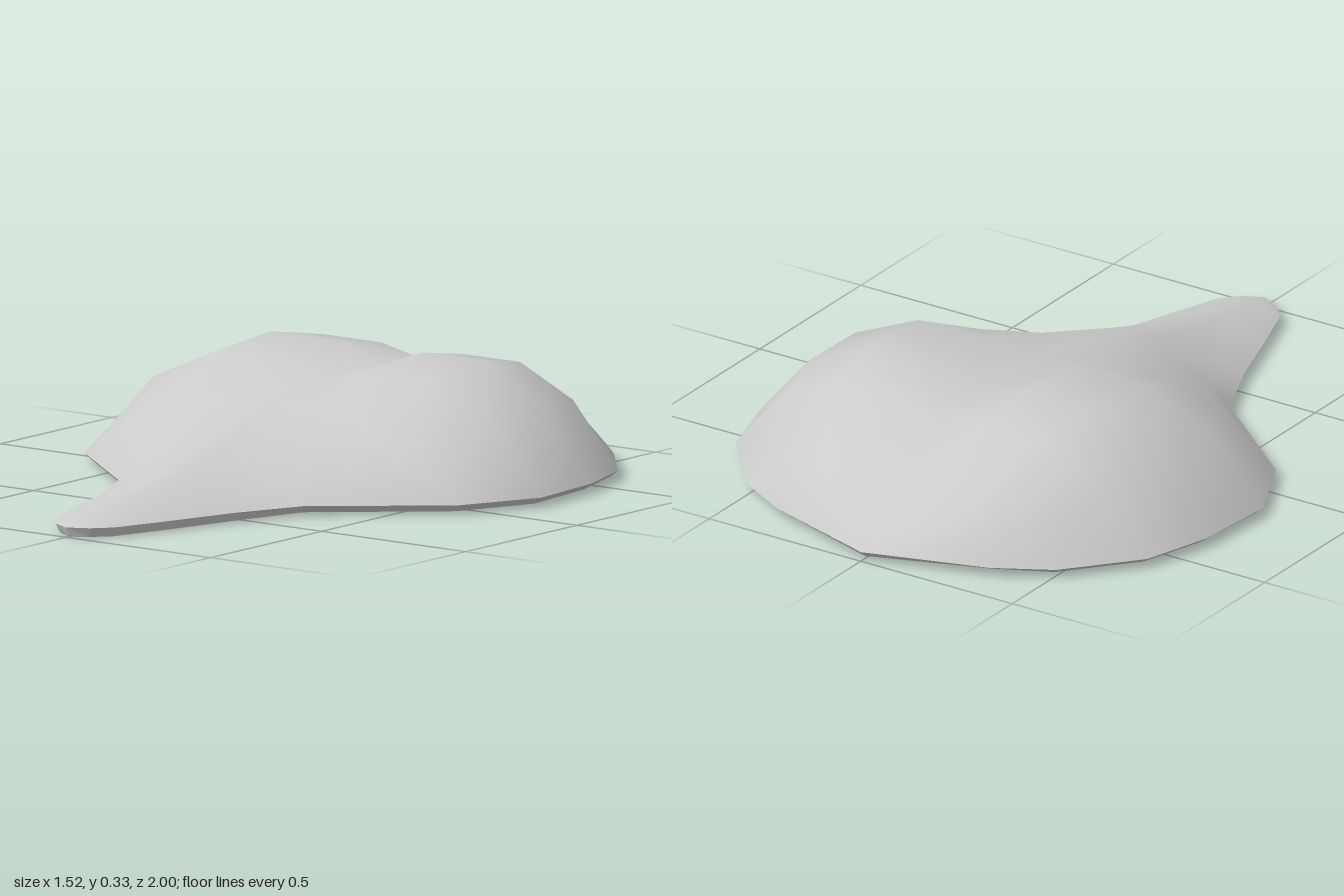
import * as THREE from 'three';

const RIM = 0.035;        // height of the upper rim edge
const THICKNESS = 0.03;

// Cross-sections from back to front: z, half width, centre rise, side rise, lobe blend
const ROWS = [
  [-1.0, 0, 0, 0, 1],
  [-0.89, 0.35, 0.075, 0.075, 1],
  [-0.8, 0.51, 0.14, 0.145, 1],
  [-0.6, 0.68, 0.235, 0.265, 1],
  [-0.4, 0.74, 0.25, 0.3, 1],
  [-0.15, 0.76, 0.245, 0.285, 0.95],
  [0.08, 0.65, 0.215, 0.225, 0.6],
  [0.35, 0.32, 0.16, 0.16, 0.25],
  [0.55, 0.23, 0.095, 0.095, 0.25],
  [0.75, 0.165, 0.053, 0.053, 0.35],
  [0.92, 0.105, 0.022, 0.022, 0.5],
  [0.97, 0.06, 0.01, 0.01, 0.5],
  [1.0, 0, 0, 0, 0.5],
];

// Half profiles, centre to edge: broad double lobe at the back, narrow ridge at the front
const U = [0, 0.21, 0.5, 0.77, 0.95, 1];
const LOBE = [1, 1, 1, 0.68, 0.16, 0];
const RIDGE = [1, 0.85, 0.45, 0.17, 0.03, 0];
const HALF = U.length - 1, COLS = 2 * HALF + 1;

function surface(points, index) {
  const g = new THREE.BufferGeometry();
  g.setAttribute('position', new THREE.Float32BufferAttribute(points.flatMap(p => p.toArray()), 3));
  g.setIndex(index);
  g.computeVertexNormals();
  return g;
}

export function createModel() {
  const group = new THREE.Group();
  const last = ROWS.length - 1;
  const isTip = i => i === 0 || i === last;
  const at = (i, j) => (i === 0 ? 0 : 1 + (i - 1) * COLS + (i === last ? 0 : j));

  // Points of the upper surface, with a single point at each tip
  const outer = [];
  ROWS.forEach(([z, w, centre, side, k], i) => {
    for (let j = 0; j < (isTip(i) ? 1 : COLS); j++) {
      const s = isTip(i) ? 0 : j - HALF, n = Math.abs(s);
      const rise = n === 0 ? centre : side * THREE.MathUtils.lerp(RIDGE[n], LOBE[n], k);
      outer.push(new THREE.Vector3(Math.sign(s) * U[n] * w, RIM + rise, z));
    }
  });

  // Faces, with diagonals mirrored about the centre line
  const index = [];
  const tri = (a, b, c) => { if (a !== b && b !== c && c !== a) index.push(a, b, c); };
  for (let i = 0; i < last; i++) {
    for (let j = 0; j < COLS - 1; j++) {
      const a = at(i, j), b = at(i + 1, j), c = at(i + 1, j + 1), d = at(i, j + 1);
      if (j < HALF) { tri(a, b, d); tri(b, c, d); }
      else { tri(a, b, c); tri(a, c, d); }
    }
  }
  const upper = surface(outer, index);

  // Lower surface: the upper one moved inwards along its normals
  const normals = upper.attributes.normal;
  const inner = outer.map((p, i) => {
    const q = p.clone().addScaledVector(new THREE.Vector3().fromBufferAttribute(normals, i), -THICKNESS);
    q.y = Math.max(q.y, 0);
    return q;
  });
  const lower = surface(inner, index.slice().reverse());

  // Rim wall joining both surfaces around the outline
  const loop = [];
  for (let i = 0; i <= last; i++) loop.push(at(i, COLS - 1));
  for (let i = last - 1; i > 0; i--) loop.push(at(i, 0));
  const wall = [];
  loop.forEach((a, k) => {
    const b = loop[(k + 1) % loop.length];
    wall.push(outer[a], outer[b], inner[a], outer[b], inner[b], inner[a]);
  });
  const rim = surface(wall, null);

  const material = new THREE.MeshStandardMaterial({ color: 0xcccccc, side: THREE.DoubleSide });
  const parts = { upperShell: upper, lowerShell: lower, rim };
  for (const [name, geometry] of Object.entries(parts)) {
    const mesh = new THREE.Mesh(geometry, material);
    mesh.name = name;
    group.add(mesh);
  }

  // Rest the rim on the ground
  const low = Math.min(...inner.map(p => p.y));
  group.children.forEach(m => m.geometry.translate(0, -low, 0));
  group.name = 'shell';
  return group;
}
